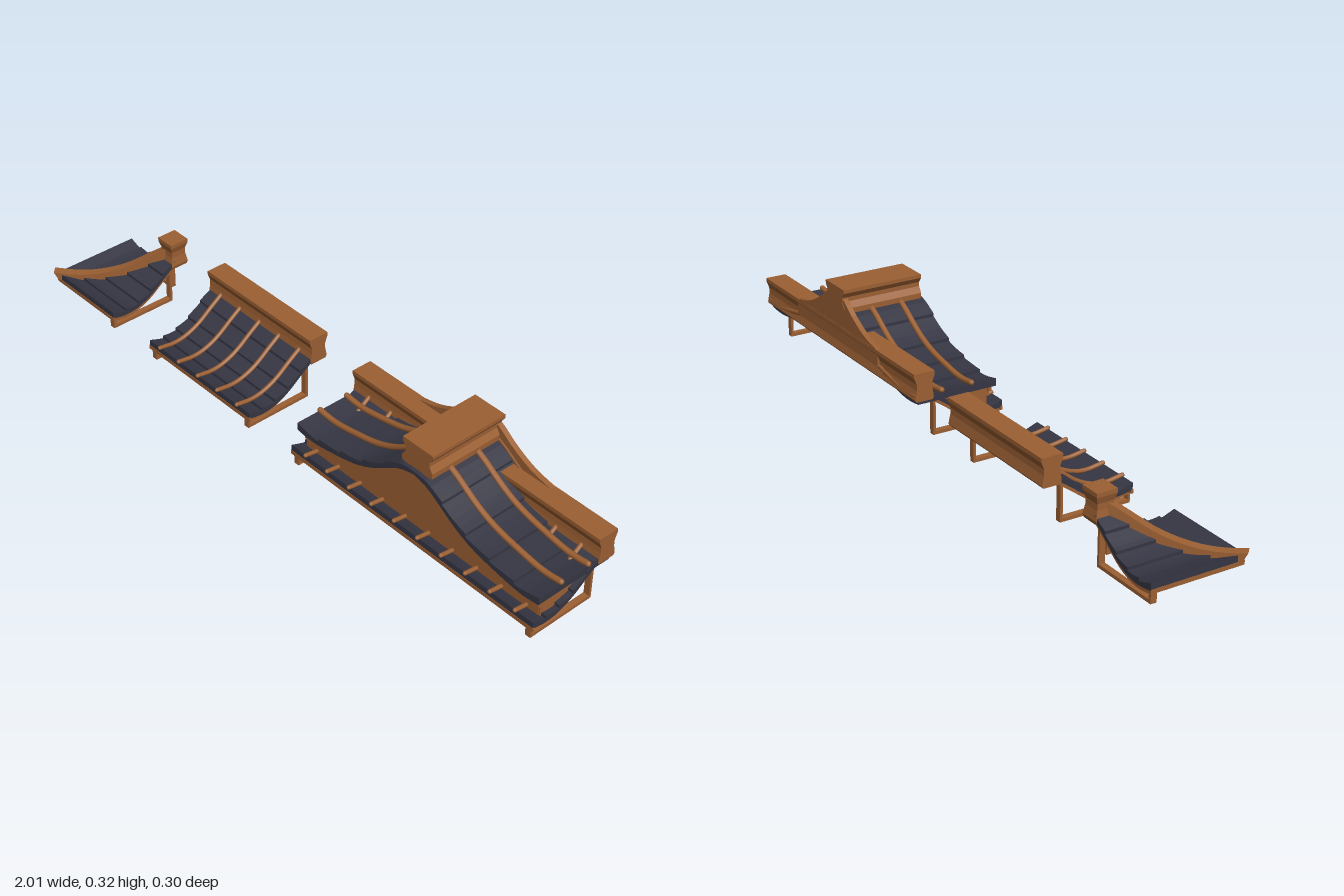
import * as THREE from 'three';
import { mergeGeometries } from 'three/addons/utils/BufferGeometryUtils.js';

const wood = new THREE.MeshStandardMaterial({ color: 0x9c6033 });
wood.name = 'brown wood';
const tile = new THREE.MeshStandardMaterial({ color: 0x363644 });
tile.name = 'dark slate tile';

const EAVE = 0.14; // z of the eave line; d is the distance back from it

// Smooth height function through a few points
function curve(xs, ys) {
  const c = new THREE.CubicInterpolant(xs, ys, 1, [0]);
  return (x) => c.evaluate(Math.min(Math.max(x, xs[0]), xs[xs.length - 1]))[0];
}
// Undersides of the main slope (by d) and of the bell-shaped gable (by |x|)
const slope = curve([0, 0.05, 0.09, 0.14, 0.19, 0.24], [0.038, 0.031, 0.036, 0.057, 0.093, 0.128]);
const gable = curve([0, 0.05, 0.1, 0.15, 0.21, 0.3, 0.39, 0.455], [0.235, 0.222, 0.192, 0.16, 0.133, 0.112, 0.1, 0.106]);

function shapeOf(pts) {
  return new THREE.Shape(pts.map(([x, y]) => new THREE.Vector2(x, y)));
}
function rect(a, b, y0, y1) {
  return [[a, y0], [b, y0], [b, y1], [a, y1]];
}
function sample(a, b, n, f) {
  return Array.from({ length: n + 1 }, (_, i) => {
    const t = a + ((b - a) * i) / n;
    return [t, f(t)];
  });
}
// Stepped upper surface: each row of tiles is thickest at its lower edge
function steps(f, a, b, rows, t, h) {
  const pts = [];
  for (let r = 0; r < rows; r++) {
    for (let k = 0; k <= 4; k++) {
      const s = a + ((b - a) * (r + k / 4)) / rows;
      pts.push([s, f(s) + t + h * (1 - k / 4)]);
    }
  }
  return pts;
}
// Sweep a (d, y) profile along x; a mitred start follows the hip diagonal
function run(pts, x0, x1, mitre = false) {
  const g = new THREE.ExtrudeGeometry(shapeOf(pts), { depth: 1, bevelEnabled: false });
  const p = g.attributes.position;
  for (let i = 0; i < p.count; i++) {
    const d = p.getX(i), k = p.getZ(i);
    const start = mitre ? x0 + d : x0;
    p.setXYZ(i, start + (x1 - start) * k, p.getY(i), EAVE - d);
  }
  g.computeVertexNormals();
  return g;
}
// Sweep an (x, y) profile along z
function plate(pts, z0, z1) {
  return new THREE.ExtrudeGeometry(shapeOf(pts), { depth: z1 - z0, bevelEnabled: false }).translate(0, 0, z0);
}
// Swap the two sides of the corner across its hip, keeping faces outward
function acrossHip(g) {
  const p = g.attributes.position;
  for (let i = 0; i < p.count; i++) p.setXYZ(i, -p.getZ(i), p.getY(i), -p.getX(i));
  const a = p.array;
  for (let i = 0; i < a.length; i += 9) {
    for (let k = 3; k < 6; k++) [a[i + k], a[i + k + 3]] = [a[i + k + 3], a[i + k]];
  }
  g.computeVertexNormals();
  return g;
}
function add(group, name, geo, mat) {
  const m = new THREE.Mesh(geo, mat);
  m.name = name;
  group.add(m);
  return m;
}
function rod(points, r) {
  const path = new THREE.CatmullRomCurve3(points);
  const ends = [points[0], points[points.length - 1]].map((p) =>
    new THREE.SphereGeometry(r, 8, 6).translate(p.x, p.y, p.z));
  return mergeGeometries([new THREE.TubeGeometry(path, 20, r, 8), ...ends]);
}

const roofProfile = [
  ...steps(slope, 0, 0.235, 5, 0.012, 0.009),
  ...sample(0.235, 0, 18, slope),
];
const ridgeProfile = [
  [0.225, 0.122], [0.229, 0.15], [0.23, 0.168], [0.222, 0.188], [0.222, 0.2],
  [0.287, 0.2], [0.287, 0.188], [0.279, 0.168], [0.279, 0.15], [0.285, 0.122], [0.28, 0.115], [0.228, 0.115],
];
// Support: curved rafter, foot bar and two posts
function frame(x) {
  const rafter = [...sample(0.004, 0.232, 16, (d) => slope(d) + 0.002), ...sample(0.232, 0.004, 16, (d) => slope(d) - 0.011)];
  const parts = [rafter, rect(0.003, 0.222, 0, 0.01), rect(0.003, 0.011, 0.01, 0.034), rect(0.214, 0.222, 0.01, 0.11)];
  return mergeGeometries(parts.map((p) => run(p, x - 0.009, x + 0.009)));
}
const fascia = rect(-0.001, 0.006, 0.029, 0.041);

function slopeRib(x, end) {
  return rod(sample(-0.002, end, 10, (d) => slope(d) + 0.022).map(([d, y]) => new THREE.Vector3(x, y, EAVE - d)), 0.0065);
}

// A straight run of roof with ridge, supports and ribs
function straightRoof(name, x0, x1, ribs) {
  const g = new THREE.Group();
  g.name = name;
  add(g, 'tiledSlope', run(roofProfile, x0 + 0.002, x1 - 0.002), tile);
  add(g, 'ridgeBeam', run(ridgeProfile, x0, x1), wood);
  add(g, 'eaveBoard', run(fascia, x0, x1), wood);
  for (const x of [x0 + 0.018, x1 - 0.018]) add(g, 'supportFrame', frame(x), wood);
  const mid = (x0 + x1) / 2;
  for (let i = 0; i < ribs; i++) {
    add(g, 'slopeRib', slopeRib(mid + (i - (ribs - 1) / 2) * 0.087, 0.226), wood);
  }
  return g;
}

function cornerRoof() {
  const g = new THREE.Group();
  g.name = 'cornerRoof';
  g.position.x = -0.86;
  const parts = [
    ['cornerSlope', () => run(roofProfile, -0.14, 0.14, true), tile],
    ['cornerEaveBoard', () => run(fascia, -0.14, 0.14, true), wood],
    ['cornerFrame', () => frame(0.128), wood],
  ];
  for (const [name, make, mat] of parts) {
    add(g, name, make(), mat);
    add(g, name, acrossHip(make()), mat);
  }
  // Hip beam along the diagonal with an upturned tip
  const top = curve([-0.007, 0.04, 0.09, 0.15, 0.2, 0.24], [0.067, 0.062, 0.069, 0.096, 0.136, 0.168]);
  const hip = [...sample(-0.007, 0.24, 18, top), ...sample(0.24, 0.002, 18, (d) => slope(d) + 0.004)]
    .map(([d, y]) => [d * Math.SQRT2, y]);
  const hipGeo = plate(hip, -0.014, 0.014).rotateY(Math.PI / 4).translate(-0.14, 0, EAVE);
  add(g, 'hipBeam', hipGeo, wood);
  // Flared square block where the ridges meet
  const block = [[0, 0.112], [0.027, 0.112], [0.03, 0.122], [0.025, 0.15], [0.025, 0.168], [0.031, 0.188], [0.031, 0.2], [0, 0.2]]
    .map(([r, y]) => new THREE.Vector2(r * Math.SQRT2, y));
  const post = new THREE.LatheGeometry(block, 4, Math.PI / 4).toNonIndexed();
  post.computeVertexNormals();
  add(g, 'cornerBlock', post.translate(0.112, 0, -0.112), wood);
  return g;
}

function gableRoof() {
  const g = straightRoof('gableRoof', -0.453, 0.453, 10);
  g.position.x = 0.538;
  const W = 0.448;
  const under = (x) => gable(Math.abs(x));
  const mirror = (half) => [...half, ...half.slice().reverse().map(([x, y]) => [-x, y])];

  // Bell-curved tile roof
  const half = steps(gable, W, 0.02, 5, 0.014, 0.009);
  add(g, 'gableTiles', plate([...mirror(half), ...sample(-W, W, 40, under)], -0.132, 0.122), tile);

  // Front boards, stacked in three shallow layers
  const layers = [
    ['bargeBoard', 0.44, 0.1, 0.112, curve([0, 0.1, 0.25, 0.45], [0.145, 0.122, 0.096, 0.089])],
    ['innerBoard', 0.435, 0.095, 0.106, curve([0, 0.1, 0.25, 0.45], [0.11, 0.096, 0.08, 0.074])],
    ['gableWall', 0.43, 0.088, 0.1, () => 0.045],
  ];
  for (const [name, w, z0, z1, low] of layers) {
    const pts = [...sample(w, -w, 40, (x) => under(x) + 0.004), ...sample(-w, w, 30, (x) => low(Math.abs(x)))];
    add(g, name, plate(pts, z0, z1), wood);
  }
  // Solid base sitting on the main slope
  add(g, 'gableBase', run([...sample(0.042, 0.18, 12, (d) => slope(d) + 0.006), [0.18, 0.108], [0.042, 0.108]], -0.435, 0.435), wood);

  // Rear wall sweeping up from the ridge to the cap
  const rise = curve([0, 0.045, 0.1, 0.17, 0.245], [0.3, 0.29, 0.252, 0.217, 0.199]);
  add(g, 'rearWall', plate([...sample(0.245, -0.245, 30, (x) => rise(Math.abs(x))), [-0.245, 0.15], [0.245, 0.15]], -0.146, -0.13), wood);

  // Flared cap beam running front to back
  const cap = [[0.055, 0.32], [0.055, 0.309], [0.044, 0.293], [0.044, 0.28], [0.055, 0.262], [0.055, 0.246], [0.02, 0.24]];
  add(g, 'gableCap', plate(mirror(cap), -0.147, 0.11), wood);

  // Ribs down both sides
  for (const z of [0.042, -0.055, -0.136]) {
    for (const s of [1, -1]) {
      const pts = sample(0.045, 0.445, 14, (x) => gable(x) + 0.027).map(([x, y]) => new THREE.Vector3(s * x, y, z));
      add(g, 'gableRib', rod(pts, 0.0085), wood);
    }
  }
  return g;
}

export function createModel() {
  const model = new THREE.Group();
  model.name = 'roofPieces';
  model.add(cornerRoof(), straightRoof('straightRoof', -0.545, -0.092, 5), gableRoof());
  return model;
}
